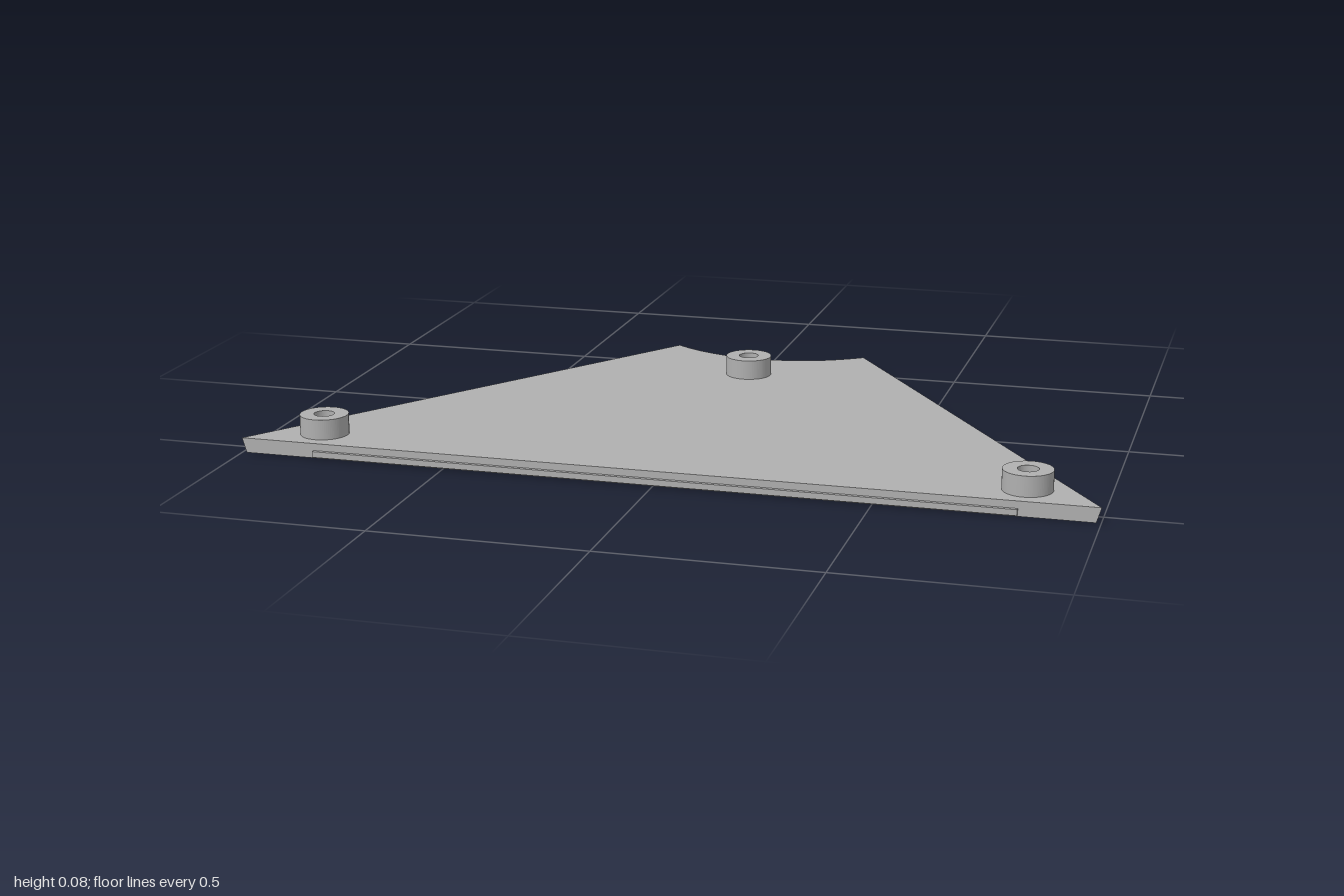
import * as THREE from 'three';

const FRONT = 0.543, TOP = 0.035, LEDGE = 0.019;
const ARC_Z = -0.873, ARC_R = 0.406;      // circle that cuts the back notch
const BEVEL = 0.009, RABBET = 0.012;

// Plate outline, anticlockwise from above, as (x, -z).
// inset moves the slanted sides inward; rabbet cuts them further behind z = 0.4.
function outline(inset, rabbet) {
  const sideX = (z, d) => 1 + (z - FRONT) * 0.685 - d / 0.825;
  const half = [[sideX(FRONT, inset), FRONT], [sideX(0.4, inset), 0.4]];
  if (rabbet) half.push([sideX(0.4, inset + rabbet), 0.4]);
  const end = Math.atan2(0.25, 0.321) - (inset + rabbet) / ARC_R;
  const points = half.map(([x, z]) => new THREE.Vector2(x, -z));
  const steps = 32;
  for (let i = 0; i <= steps; i++) {
    const a = end * (1 - 2 * i / steps);
    points.push(new THREE.Vector2(ARC_R * Math.sin(a), -(ARC_Z + ARC_R * Math.cos(a))));
  }
  half.reverse().forEach(([x, z]) => points.push(new THREE.Vector2(-x, -z)));
  return points;
}

// Solid between two outlines with equal point counts
function loft(low, y0, high, y1) {
  const pos = [];
  const put = (p, y) => pos.push(p.x, y, -p.y);
  low.forEach((p, i) => {
    const j = (i + 1) % low.length;
    put(p, y0); put(low[j], y0); put(high[j], y1);
    put(p, y0); put(high[j], y1); put(high[i], y1);
  });
  for (const [a, b, c] of THREE.ShapeUtils.triangulateShape(high, [])) {
    put(high[a], y1); put(high[b], y1); put(high[c], y1);
  }
  for (const [a, b, c] of THREE.ShapeUtils.triangulateShape(low, [])) {
    put(low[a], y0); put(low[c], y0); put(low[b], y0);
  }
  const geometry = new THREE.BufferGeometry();
  geometry.setAttribute('position', new THREE.Float32BufferAttribute(pos, 3));
  geometry.computeVertexNormals();
  return geometry;
}

export function createModel() {
  const group = new THREE.Group();
  const grey = new THREE.MeshStandardMaterial({ color: 0xb0b0b0 });
  grey.name = 'grey';
  const add = (name, geometry, x = 0, y = 0, z = 0) => {
    const mesh = new THREE.Mesh(geometry, grey);
    mesh.name = name;
    mesh.position.set(x, y, z);
    group.add(mesh);
  };

  // Plate: full upper layer, lower layer with stepped sides
  const mid = BEVEL * (1 - LEDGE / TOP);
  add('upperPlate', loft(outline(mid, 0), LEDGE, outline(0, 0), TOP));
  add('lowerPlate', loft(outline(BEVEL, RABBET), 0, outline(mid, RABBET), LEDGE));

  // Tongue along the front edge
  add('frontTongue', new THREE.BoxGeometry(1.64, 0.014, 0.018), 0, 0.011, 0.543);

  // Round bosses with centre holes
  const ring = new THREE.Shape().absarc(0, 0, 0.057, 0, Math.PI * 2, false);
  ring.holes.push(new THREE.Path().absarc(0, 0, 0.024, 0, Math.PI * 2, true));
  const boss = new THREE.ExtrudeGeometry(ring, { depth: 0.048, bevelEnabled: false, curveSegments: 40 });
  boss.rotateX(-Math.PI / 2);
  for (const [name, x, z] of [['leftBoss', 0.828, 0.457], ['rightBoss', -0.828, 0.457], ['backBoss', 0, -0.32]]) {
    add(name, boss, x, TOP, z);
  }
  return group;
}
